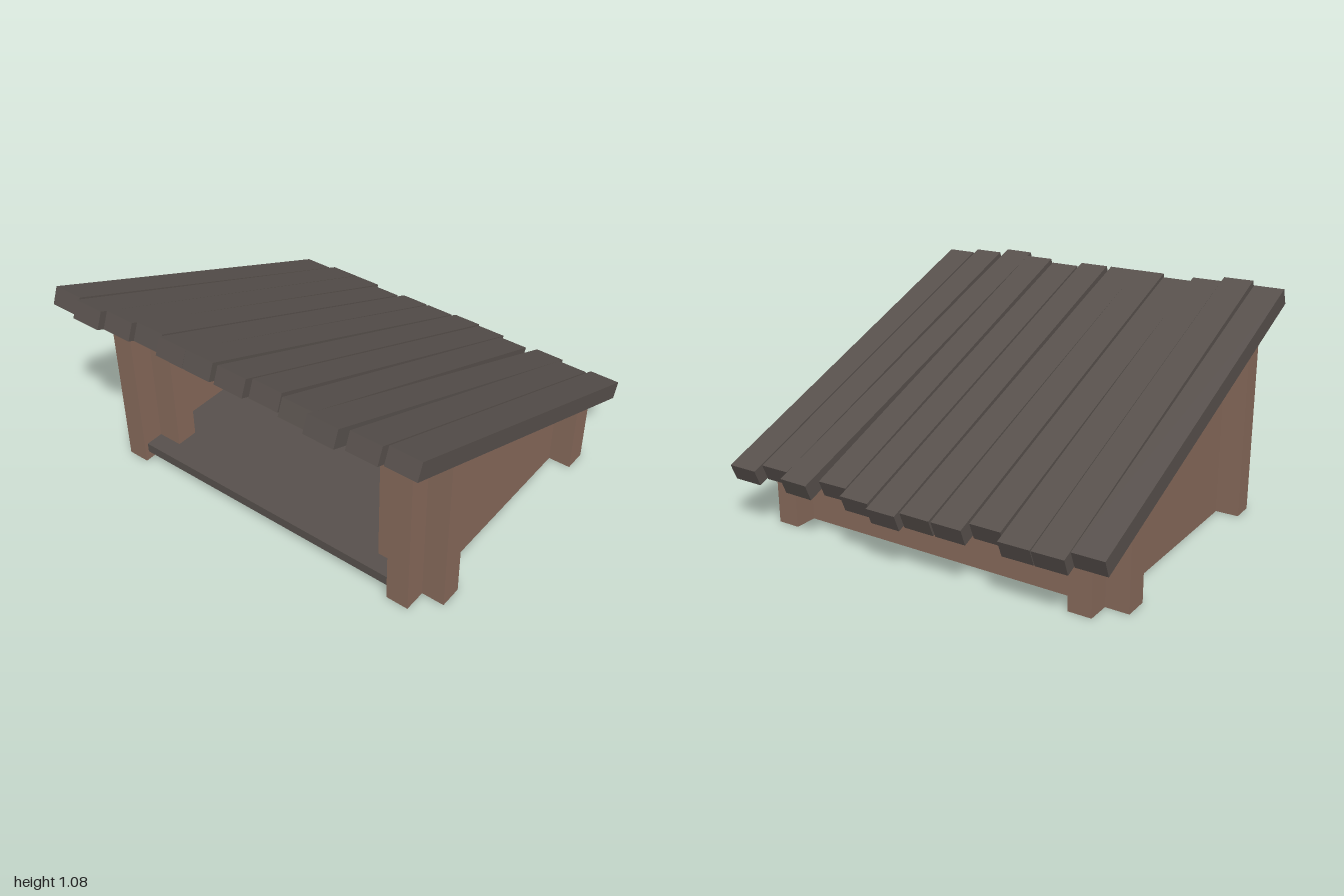
import * as THREE from 'three';

const SLOPE = 0.405, RIDGE = 0.607;
const roofY = z => RIDGE + SLOPE * z; // underside of the roof at depth z

export function createModel() {
  const model = new THREE.Group();
  model.name = 'leanToShelter';
  const wood = new THREE.MeshStandardMaterial({ color: 0x86695a, flatShading: true });
  const dark = new THREE.MeshStandardMaterial({ color: 0x57504c, flatShading: true });

  // Wall piece whose top is cut along the roof slope
  function slopedWall(name, x0, x1, z0, z1, y0 = 0) {
    const shape = new THREE.Shape([
      new THREE.Vector2(-z0, y0), new THREE.Vector2(-z0, roofY(z0)),
      new THREE.Vector2(-z1, roofY(z1)), new THREE.Vector2(-z1, y0),
    ]);
    const geo = new THREE.ExtrudeGeometry(shape, { depth: x1 - x0, bevelEnabled: false });
    geo.rotateY(Math.PI / 2); // profile into the z-y plane, extruded along x
    geo.translate(x0, 0, 0);
    const mesh = new THREE.Mesh(geo, wood);
    mesh.name = name;
    model.add(mesh);
  }

  function box(name, x0, x1, y0, y1, z0, z1, mat) {
    const mesh = new THREE.Mesh(new THREE.BoxGeometry(x1 - x0, y1 - y0, z1 - z0), mat);
    mesh.position.set((x0 + x1) / 2, (y0 + y1) / 2, (z0 + z1) / 2);
    mesh.name = name;
    model.add(mesh);
  }

  // Side walls run past the front and back walls, forming crossed corners
  slopedWall('rightWall', -0.885, -0.77, -0.79, 0.71);
  slopedWall('leftWall', 0.74, 0.855, -0.79, 0.71);
  slopedWall('backWall', -1, 0.97, -0.675, -0.555);

  // Front wall around the wide opening
  slopedWall('frontJambRight', -1, -0.64, 0.48, 0.595);
  slopedWall('frontJambLeft', 0.61, 0.97, 0.48, 0.595);
  slopedWall('frontLintel', -0.64, 0.61, 0.48, 0.595, 0.74);
  box('frontSill', -0.64, 0.61, 0, 0.05, 0.48, 0.595, wood);

  // Floor, with a lip in front of the opening
  box('floor', -0.77, 0.74, 0.05, 0.1, -0.555, 0.48, dark);
  box('floorThreshold', -0.64, 0.61, 0.05, 0.1, 0.48, 0.595, dark);
  box('floorLip', -0.77, 0.74, 0.05, 0.1, 0.595, 0.69, dark);

  // Roof planks: centre x at back, centre x at front, back z, front z
  const planks = [
    [-0.922, -0.922, -0.9, 0.93], [-0.763, -0.746, -0.945, 0.965],
    [-0.602, -0.59, -0.945, 0.93], [-0.432, -0.437, -0.9, 0.9],
    [-0.263, -0.267, -0.945, 0.93], [-0.096, -0.112, -0.945, 0.93],
    [0.07, 0.07, -0.97, 0.93], [0.24, 0.235, -0.945, 0.9],
    [0.403, 0.419, -0.9, 0.93], [0.602, 0.574, -0.945, 0.965],
    [0.758, 0.758, -0.9, 0.93], [0.922, 0.922, -0.945, 0.9],
  ];
  const tilt = Math.atan(SLOPE), thick = 0.087, width = 0.156;
  const roof = new THREE.Group();
  roof.name = 'roof';
  roof.position.y = RIDGE;
  roof.rotation.x = -tilt;
  planks.forEach(([xb, xf, zb, zf]) => {
    const back = (zb + thick * Math.sin(tilt)) / Math.cos(tilt);
    const front = zf / Math.cos(tilt);
    const plank = new THREE.Mesh(new THREE.BoxGeometry(width, thick, front - back), dark);
    plank.position.set((xb + xf) / 2, thick / 2, (back + front) / 2);
    plank.rotation.y = Math.atan((xf - xb) / (front - back));
    plank.name = 'roofPlank';
    roof.add(plank);
  });
  model.add(roof);

  return model;
}
